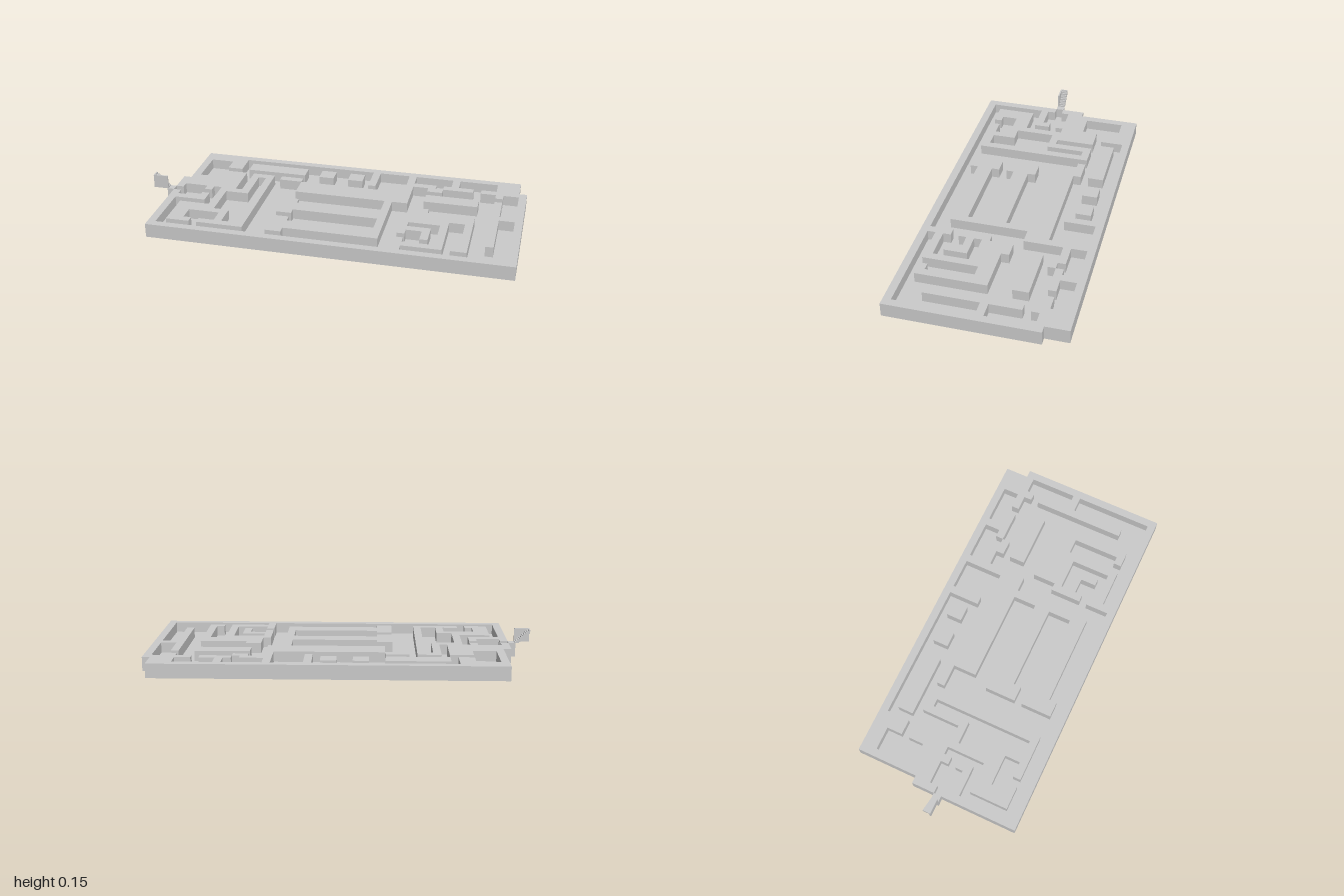
import * as THREE from 'three';

const COLS = 46, ROWS = 22, S = 0.041, X0 = -0.888, Z0 = -0.451;
const TOP = 0.075, FLOOR = 0.02;

// Each rectangle is [column from, row from, column to, row to]
const upperPits = [
  [2, 2, 5, 7], [5, 4, 8, 5], [7, 1, 30, 5], [16, 5, 30, 6], [12, 5, 13, 6], [8, 5, 9, 10],
];
const upperWalls = [[25, 1, 26, 5], [8, 2, 16, 4], [18, 2, 20, 4], [22, 2, 24, 4]];
const leftPits = [
  [7, 11, 11, 16], [9, 16, 11, 19], [10, 6, 11, 11],
  [0, 11, 1, 12], [1, 10, 4, 11], [1, 11, 5, 12], [1, 12, 4, 13], [5, 10, 6, 15],
  [1, 14, 6, 15], [1, 14, 2, 21], [4, 17, 8, 19], [5, 19, 6, 20], [1, 20, 31, 21],
];
const centrePits = [
  [12, 6, 15, 21], [15, 6, 16, 9], [15, 9, 17, 11], [17, 9, 28, 12], [17, 14, 28, 17],
  [15, 15, 17, 16], [17, 19, 31, 21], [29, 9, 31, 21],
];
const centreWalls = [[15, 16, 17, 20]];
const rightPits = [
  [31, 1, 36, 3], [34, 3, 35, 4], [37, 1, 42, 3], [39, 3, 40, 4], [31, 4, 42, 21],
  [42, 5, 43, 6], [43, 4, 45, 10], [43, 11, 45, 21], [42, 18, 43, 21],
];
const rightWalls = [
  [33, 4, 35, 5], [33, 6, 40, 8], [32, 10, 34, 11], [32, 11, 39, 13], [39, 11, 40, 20],
  [38, 19, 40, 20], [31, 13, 37, 14], [36, 13, 37, 20], [31, 15, 35, 16], [34, 15, 35, 18],
  [31, 13, 32, 17], [31, 18, 32, 21], [32, 19, 37, 20],
];
const notches = [[0, 0, 1, 8], [45, 0, 46, 3]];

function makeHeights() {
  const h = Array.from({ length: COLS }, () => new Array(ROWS).fill(TOP));
  const set = (rects, value) => rects.forEach(([a, b, c, d]) => {
    for (let i = a; i < c; i++) for (let j = b; j < d; j++) h[i][j] = value;
  });
  set(upperPits, FLOOR); set(upperWalls, TOP);
  set(leftPits, FLOOR);
  set(centrePits, FLOOR); set(centreWalls, TOP);
  set(rightPits, FLOOR); set(rightWalls, TOP);
  set(notches, 0);
  return h;
}

// Turns the cell heights into one closed surface
function mazeGeometry() {
  const h = makeHeights(), pos = [];
  const at = (i, j) => (h[i] && h[i][j]) || 0;
  const quad = (a, b, c, d) => pos.push(...a, ...b, ...c, ...a, ...c, ...d);
  for (let i = 0; i < COLS; i++) for (let j = 0; j < ROWS; j++) {
    const y = at(i, j);
    if (!y) continue;
    const x = X0 + i * S, X = x + S, z = Z0 + j * S, Z = z + S;
    quad([x, y, z], [x, y, Z], [X, y, Z], [X, y, z]);
    quad([x, 0, z], [X, 0, z], [X, 0, Z], [x, 0, Z]);
    const e = at(i + 1, j), w = at(i - 1, j), s = at(i, j + 1), n = at(i, j - 1);
    if (e < y) quad([X, e, Z], [X, e, z], [X, y, z], [X, y, Z]);
    if (w < y) quad([x, w, z], [x, w, Z], [x, y, Z], [x, y, z]);
    if (s < y) quad([x, s, Z], [X, s, Z], [X, y, Z], [x, y, Z]);
    if (n < y) quad([X, n, z], [x, n, z], [x, y, z], [X, y, z]);
  }
  const g = new THREE.BufferGeometry();
  g.setAttribute('position', new THREE.Float32BufferAttribute(pos, 3));
  g.computeVertexNormals();
  return g;
}

export function createModel() {
  const model = new THREE.Group();
  model.name = 'mazeBoard';
  const material = new THREE.MeshStandardMaterial({ color: 0xcccccc, flatShading: true });
  const add = (name, geometry, parent = model) => {
    const mesh = new THREE.Mesh(geometry, material);
    mesh.name = name;
    parent.add(mesh);
    return mesh;
  };
  const box = (name, x, y, z, X, Y, Z, parent) =>
    add(name, new THREE.BoxGeometry(X - x, Y - y, Z - z), parent)
      .position.set((x + X) / 2, (y + Y) / 2, (z + Z) / 2);

  add('mazePlate', mazeGeometry());

  // Small stair at the entrance
  const stair = new THREE.Group();
  stair.name = 'entranceStair';
  model.add(stair);
  box('stairFoot', -0.925, 0, 0, X0, TOP, 0.041, stair);
  box('stairPanel', -1, TOP, 0.033, -0.92, 0.148, 0.041, stair);
  const steps = 10, run = 0.08 / steps, rise = 0.073 / steps;
  for (let i = 0; i < steps; i++) {
    const X = -0.92 - i * run, Y = TOP + (i + 1) * rise;
    box('stairStep', X - run, Math.max(TOP, Y - 0.022), 0, X, Y, 0.033, stair);
  }
  return model;
}
